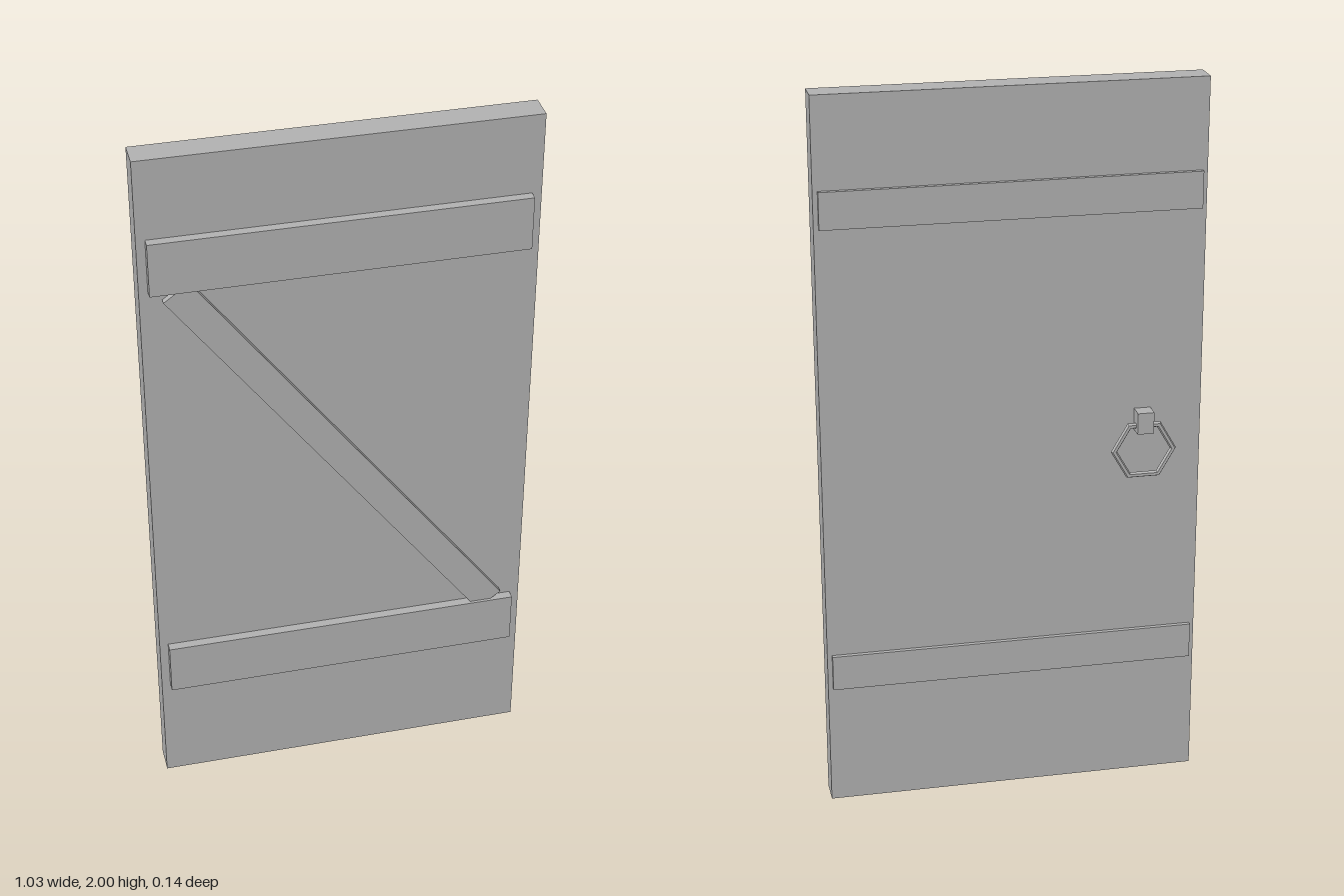
import * as THREE from 'three';

export function createModel() {
  const door = new THREE.Group();
  door.name = 'door';
  const grey = new THREE.MeshStandardMaterial({ color: 0xb2b2b2 });
  grey.name = 'grey';

  const add = (name, geometry, x, y, z) => {
    const mesh = new THREE.Mesh(geometry, grey);
    mesh.name = name;
    mesh.position.set(x, y, z);
    door.add(mesh);
    return mesh;
  };
  // Box given by its centre in x and y, and its z range
  const box = (name, w, h, x, y, z0, z1) =>
    add(name, new THREE.BoxGeometry(w, h, z1 - z0), x, y, (z0 + z1) / 2);

  // Main slab
  box('doorPanel', 1.034, 2, 0, 1, -0.03, 0.044);

  // Horizontal battens on the front, thin hinge straps on the back
  for (const [side, battenY, strapY] of [['upper', 1.704, 1.703], ['lower', 0.397, 0.396]]) {
    box(side + 'Batten', 0.985, 0.15, -0.001, battenY, 0.04, 0.069);
    box(side + 'BackStrap', 1.008, 0.1, 0, strapY, -0.042, -0.026);
  }

  // Diagonal brace running from upper right to lower left
  const brace = box('diagonalBrace', 1.437, 0.083, 0, 1.047, 0.04, 0.061);
  brace.rotation.z = -Math.atan2(0.806, 0.592);

  // Handle: square mount holding a hexagonal pull ring
  box('handleMount', 0.045, 0.06, -0.355, 1.073, -0.073, -0.028);
  const ring = new THREE.TorusGeometry(0.082, 0.0088, 6, 6).toNonIndexed();
  ring.computeVertexNormals(); // faceted
  add('pullRing', ring, -0.355, 0.99, -0.052);

  return door;
}
